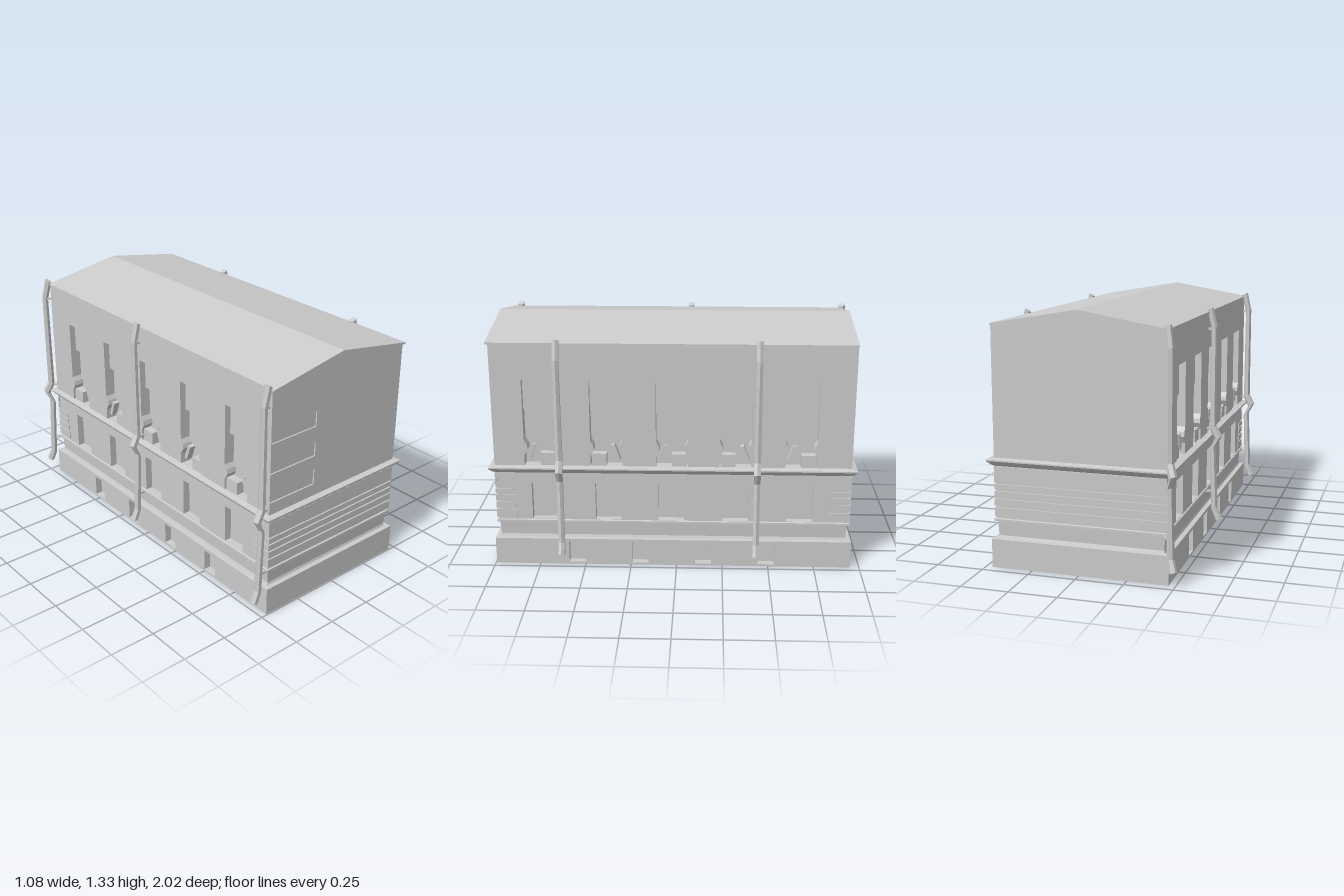
import * as THREE from 'three';

const mat = new THREE.MeshStandardMaterial({ color: 0xcccccc, side: THREE.DoubleSide, flatShading: true });
const MID_Z = 0.022;

function mesh(name, geo, parent) {
  const m = new THREE.Mesh(geo, mat);
  m.name = name;
  parent.add(m);
  return m;
}

function box(name, x0, x1, y0, y1, z0, z1, parent) {
  const m = mesh(name, new THREE.BoxGeometry(x1 - x0, y1 - y0, z1 - z0), parent);
  m.position.set((x0 + x1) / 2, (y0 + y1) / 2, (z0 + z1) / 2);
  return m;
}

// Skin joining closed rings of [x, y, z] points, listed counter-clockwise from above, bottom to top
function loft(rings, capped = false) {
  const pos = [];
  const n = rings[0].length;
  for (let r = 0; r < rings.length - 1; r++) {
    for (let i = 0; i < n; i++) {
      const j = (i + 1) % n;
      const a = rings[r][i], b = rings[r][j], c = rings[r + 1][j], d = rings[r + 1][i];
      pos.push(...a, ...b, ...c, ...a, ...c, ...d);
    }
  }
  if (capped) {
    const lo = rings[0], hi = rings[rings.length - 1];
    for (let i = 1; i < n - 1; i++) pos.push(...lo[0], ...lo[i + 1], ...lo[i], ...hi[0], ...hi[i], ...hi[i + 1]);
  }
  const g = new THREE.BufferGeometry();
  g.setAttribute('position', new THREE.Float32BufferAttribute(pos, 3));
  g.computeVertexNormals();
  return g;
}

// Rectangular ring around the building at height y, half width h
const ring = (y, h) => {
  const d = h + 0.507;
  return [[-h, y, MID_Z + d], [h, y, MID_Z + d], [h, y, MID_Z - d], [-h, y, MID_Z - d]];
};
const rect = (x0, x1, y0, y1) => [[x0, y0], [x1, y0], [x1, y1], [x0, y1]];
const toShape = (pts) => new THREE.Shape(pts.map(([x, y]) => new THREE.Vector2(x, y)));

// Flat wall facing +z with recessed pockets behind each opening
function facade(name, outline, openings, depth) {
  const g = new THREE.Group();
  g.name = name;
  const wall = toShape(outline);
  for (const pts of openings) {
    wall.holes.push(toShape(pts));
    mesh('reveal', loft([pts.map(([x, y]) => [x, y, 0]), pts.map(([x, y]) => [x, y, -depth])]), g);
    mesh('recessPanel', new THREE.ShapeGeometry(toShape(pts)), g).position.z = -depth;
  }
  mesh('wallFace', new THREE.ShapeGeometry(wall), g);
  return g;
}

// Tall window outline with chipped jambs near the foot
const tallWindow = (c) => [
  [c - 0.085, 0.572], [c + 0.085, 0.572], [c + 0.085, 0.63], [c + 0.065, 0.665], [c + 0.07, 0.69], [c + 0.085, 0.715],
  [c + 0.085, 1.05], [c - 0.085, 1.05], [c - 0.085, 0.715], [c - 0.07, 0.69], [c - 0.065, 0.665], [c - 0.085, 0.63],
];

// One long side, built facing +x
function buildSide() {
  const side = new THREE.Group();
  const place = (wall, x) => {
    wall.rotation.y = Math.PI / 2; // local x becomes -z
    wall.position.x = x;
    side.add(wall);
  };
  const upperZ = [0.73, 0.375, 0.025, -0.315, -0.665];
  const lowerZ = [0.715, 0.37, 0.03, -0.32, -0.665];
  const ventZ = [0.545, 0.2, -0.145, -0.49];
  const span = (h, y0, y1) => rect(-MID_Z - h - 0.507, -MID_Z + h + 0.507, y0, y1);
  place(facade('upperSideWall', span(0.45, 0.57, 1.25), upperZ.map((z) => tallWindow(-z)), 0.06), 0.45);
  place(facade('lowerSideWall', span(0.445, 0.25, 0.53), lowerZ.map((z) => rect(-z - 0.07, -z + 0.07, 0.26, 0.47)), 0.04), 0.445);
  place(facade('plinthSide', span(0.465, 0, 0.15), ventZ.map((z) => rect(-z - 0.045, -z + 0.045, 0.012, 0.132)), 0.04), 0.465);

  // Upper panes and broken sill pieces inside the tall windows
  upperZ.forEach((z, i) => {
    box('upperPane', 0.39, 0.415, 0.88, 1.05, z - 0.085, z + 0.085, side);
    const s = i % 2 ? 1 : -1;
    box('sillPiece', 0.395, 0.44, 0.572, 0.64, z + s * 0.04 - 0.04, z + s * 0.04 + 0.04, side);
    const shard = box('brokenSlat', 0.40, 0.435, 0.60, 0.69, z - s * 0.05 - 0.01, z - s * 0.05 + 0.01, side);
    shard.rotation.x = s * 0.35;
  });
  return side;
}

// Crooked six-sided drainpipe, running down a wall that faces +x
function buildPipe() {
  const g = new THREE.Group();
  g.name = 'drainpipe';
  const path = [[0.522, 0.08, 0.019], [0.497, 0.14, 0.018], [0.482, 0.49, 0.017], [0.513, 0.55, 0.02],
    [0.483, 0.61, 0.019], [0.483, 1.16, 0.017], [0.458, 1.265, 0.018]];
  const rings = path.map(([x, y, r]) => Array.from({ length: 6 }, (_, i) => {
    const a = -i * Math.PI / 3;
    return [x + r * Math.cos(a), y + r * 0.5 * Math.cos(a), r * 1.1 * Math.sin(a)];
  }));
  mesh('pipe', loft(rings, true), g);
  for (const y of [0.24, 0.6, 1.155]) box('pipeBracket', 0.44, 0.49, y - 0.006, y + 0.006, -0.008, 0.008, g);
  return g;
}

export function createModel() {
  const model = new THREE.Group();
  model.name = 'building';

  // Long sides, mirrored
  for (const s of [1, -1]) {
    const side = buildSide();
    side.name = s > 0 ? 'leftSide' : 'rightSide';
    side.scale.x = s;
    model.add(side);
  }

  // End walls: plinth, ribbed lower storey and gable
  const gable = [[-0.45, 0.57], [0.45, 0.57], [0.45, 1.25], [0, 1.325], [-0.45, 1.25]];
  const slots = [0.64, 0.8, 0.963].map((y) => rect(-0.449, -0.15, y, y + 0.082));
  const ribs = [[0.27, 0.315], [0.325, 0.36], [0.37, 0.4], [0.41, 0.437], [0.446, 0.53]];
  for (const s of [1, -1]) {
    const end = new THREE.Group();
    end.name = s > 0 ? 'frontEnd' : 'backEnd';
    const parts = [
      [facade('gableWall', gable, s > 0 ? slots : [], 0.008), 0.45],
      [facade('lowerEndWall', rect(-0.445, 0.445, 0.25, 0.53), [], 0), 0.445],
      [facade('plinthEnd', rect(-0.465, 0.465, 0, 0.15), [], 0), 0.465],
    ];
    for (const [wall, h] of parts) {
      wall.position.z = h + 0.507;
      end.add(wall);
    }
    for (const [y0, y1] of ribs) {
      box('endRib', -0.45, 0.45, y0, y1, 0.948, 0.96, end);
      if (y1 > 0.5) continue;
      for (const x of [-0.445, 0.445]) box('cornerRib', x - 0.005, x + 0.005, y0, y1, 0.82 + y0 * 0.1, 0.95, end);
    }
    end.rotation.y = s > 0 ? 0 : Math.PI;
    end.position.z = MID_Z;
    model.add(end);
  }

  // Horizontal bands around the whole building
  mesh('plinthLedge', loft([ring(0.15, 0.465), ring(0.152, 0.44), ring(0.165, 0.435), ring(0.24, 0.44),
    ring(0.243, 0.453), ring(0.255, 0.453), ring(0.258, 0.445)]), model);
  mesh('cornice', loft([ring(0.53, 0.445), ring(0.54, 0.462), ring(0.56, 0.48), ring(0.567, 0.48), ring(0.574, 0.45)]), model);

  // Low pitched roof
  const roof = new THREE.ExtrudeGeometry(
    toShape([[-0.455, 1.25], [-0.455, 1.24], [0, 1.316], [0.455, 1.24], [0.455, 1.25], [0, 1.328]]),
    { depth: 1.932, bevelEnabled: false });
  mesh('roof', roof, model).position.z = -0.938;

  // Half of the ground floor that remains
  const floor = new THREE.BufferGeometry();
  floor.setAttribute('position', new THREE.Float32BufferAttribute(
    [-0.44, 0.25, 0.965, 0.44, 0.25, -0.92, 0.44, 0.25, 0.965].flat(), 3));
  floor.computeVertexNormals();
  mesh('brokenFloor', floor, model);

  // Drainpipes: [x shift, z, turn]
  const pipes = [[0, 0.625, 0], [0, -0.43, 0], [0, -0.06, Math.PI], [0, 0.96, Math.PI]];
  for (const [x, z, turn] of pipes) {
    const p = buildPipe();
    p.position.set(x, 0, z);
    p.rotation.y = turn;
    model.add(p);
  }
  // Corner pipe turned diagonally away from the back corner
  const corner = buildPipe();
  corner.rotation.y = Math.PI * 0.75;
  corner.position.set(-0.13, 0, -0.625);
  model.add(corner);
  return model;
}
